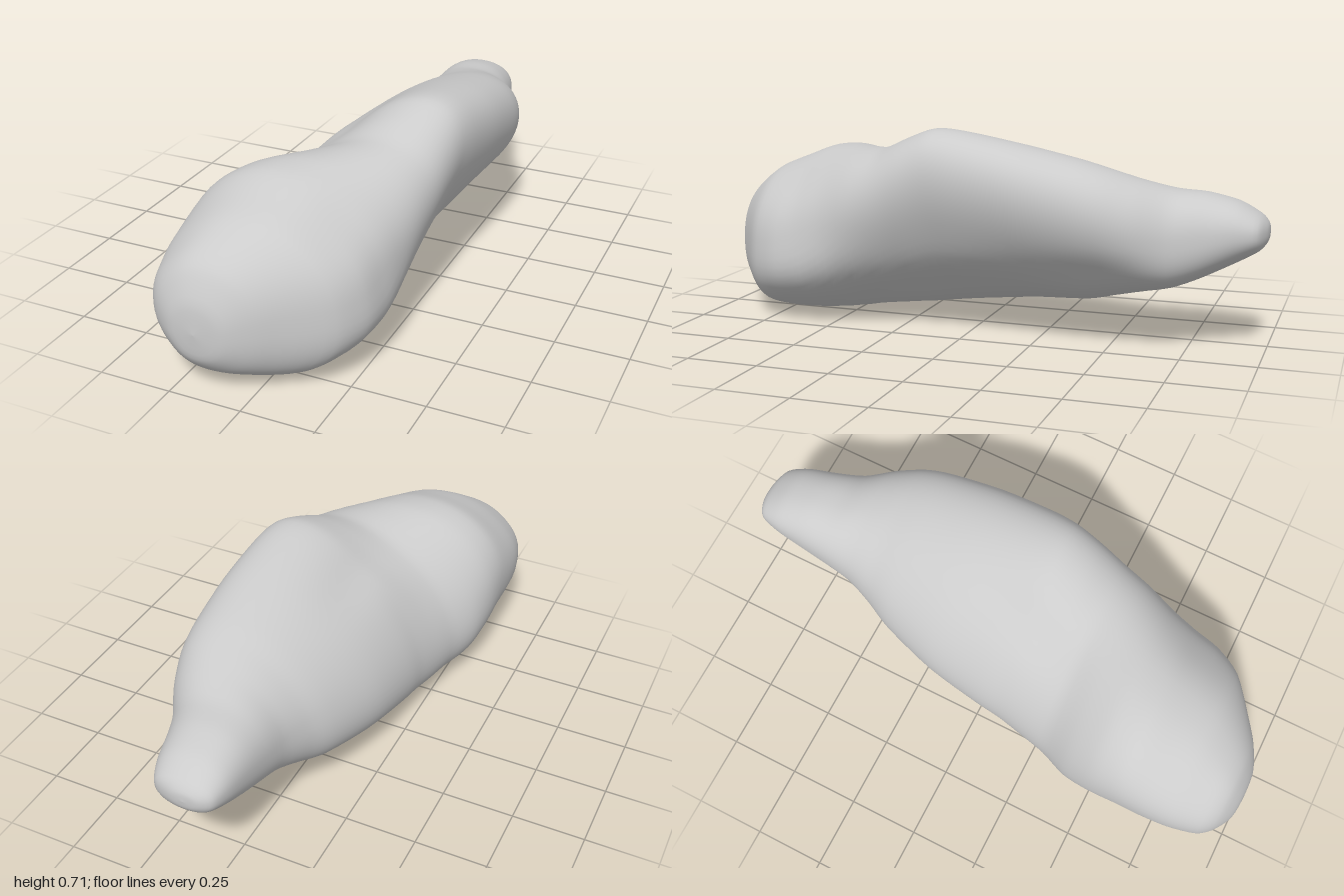
import * as THREE from 'three';

// Cross-sections from front to back: z, left x, right x, bottom y, top y, slant
const stations = [
  [1.0, -0.15, -0.15, 0.23, 0.23, 0],
  [0.99, -0.24, -0.06, 0.14, 0.33, 0],
  [0.95, -0.31, 0.02, 0.085, 0.42, 0],
  [0.9, -0.35, 0.09, 0.05, 0.47, 0],
  [0.8, -0.377, 0.22, 0.01, 0.535, -0.03],
  [0.7, -0.385, 0.275, 0.0, 0.575, -0.04],
  [0.6, -0.385, 0.29, 0.0, 0.612, -0.02],
  [0.5, -0.38, 0.305, 0.008, 0.625, 0.1],
  [0.4, -0.36, 0.325, 0.02, 0.628, 0.28],
  [0.3, -0.315, 0.338, 0.03, 0.638, 0.43],
  [0.2, -0.29, 0.35, 0.04, 0.68, 0.52],
  [0.1, -0.27, 0.36, 0.055, 0.716, 0.56],
  [0.0, -0.26, 0.37, 0.07, 0.712, 0.55],
  [-0.2, -0.23, 0.38, 0.1, 0.675, 0.5],
  [-0.4, -0.17, 0.375, 0.125, 0.63, 0.4],
  [-0.5, -0.125, 0.36, 0.155, 0.6, 0.32],
  [-0.6, -0.09, 0.325, 0.185, 0.565, 0.18],
  [-0.7, -0.078, 0.27, 0.21, 0.535, 0.03],
  [-0.8, -0.07, 0.23, 0.25, 0.525, 0],
  [-0.9, -0.06, 0.2, 0.3, 0.5, 0],
  [-0.97, -0.04, 0.165, 0.34, 0.46, 0],
  [-0.995, 0.0, 0.1, 0.37, 0.43, 0],
  [-1.0, 0.05, 0.05, 0.4, 0.4, 0],
];

// Hollows (or bulges, if negative): z, reach along z, angle, spread, depth
const dents = [
  [0.06, 0.2, 1.9, 0.45, 0.11],     // notch left of the ridge
  [0.66, 0.17, 0.85, 0.45, 0.07],   // valley on the head, upper right
  [0.55, 0.3, -1.1, 0.4, 0.05],     // under the head, right
  [0.6, 0.2, -0.35, 0.3, -0.06],    // right cheek
  [0.88, 0.13, -0.7, 0.5, -0.06],   // lower right of the nose
  [0.85, 0.22, -2.45, 0.45, 0.07],  // lower left chamfer of the head
  [0.85, 0.22, 2.3, 0.45, 0.06],    // upper left chamfer of the head
  [0.1, 0.28, -0.5, 0.4, -0.05],    // keel below the right flank
  [-0.45, 0.18, -0.6, 0.45, 0.06],  // hollow behind the keel
  [-0.74, 0.12, -0.7, 0.5, -0.07],  // underside of the tail
];

function dentFactor(angle, z) {
  let factor = 1;
  for (const [dz, reach, at, spread, depth] of dents) {
    const turn = Math.atan2(Math.sin(angle - at), Math.cos(angle - at));
    factor -= depth * Math.exp(-((turn / spread) ** 2) - ((z - dz) / reach) ** 2);
  }
  return factor;
}

// Slightly squared circle coordinate
const soft = (v, p) => Math.sign(v) * Math.pow(Math.abs(v), p);

function loftBody(sides, steps) {
  // Smooth the section centres and half sizes along the length
  const smooth = (points) => new THREE.CatmullRomCurve3(points, false, 'catmullrom', 0.4);
  const centres = smooth(stations.map(([z, l, r, b, t]) => new THREE.Vector3((l + r) / 2, (b + t) / 2, z)));
  const sizes = smooth(stations.map(([, l, r, b, t, s]) => new THREE.Vector3((r - l) / 2, (t - b) / 2, s)));
  const positions = [], index = [];
  const rings = (stations.length - 1) * steps;
  for (let i = 0; i <= rings; i++) {
    const c = centres.getPoint(i / rings), h = sizes.getPoint(i / rings);
    // The head is squarer than the slanted middle
    const power = 0.9 + 0.1 * Math.min(1, Math.abs(h.z) * 2);
    for (let j = 0; j < sides; j++) {
      const a = (j / sides) * Math.PI * 2;
      const u = soft(Math.cos(a), power), v = soft(Math.sin(a + h.z), power);
      const f = dentFactor(Math.atan2(v, u), c.z);
      positions.push(c.x + h.x * u * f, c.y + h.y * v * f, c.z);
      if (i < rings) {
        const k = (j + 1) % sides, p = i * sides, q = p + sides;
        if (i < rings - 1) index.push(p + j, q + j, q + k);
        else index.push(p + j, q + j, p + k);
        if (i > 0 && i < rings - 1) index.push(p + j, q + k, p + k);
      }
    }
  }
  const geometry = new THREE.BufferGeometry();
  geometry.setAttribute('position', new THREE.Float32BufferAttribute(positions, 3));
  geometry.setIndex(index);
  geometry.computeVertexNormals();
  return geometry;
}

export function createModel() {
  const group = new THREE.Group();
  group.name = 'organicForm';
  const body = new THREE.Mesh(
    loftBody(64, 4),
    new THREE.MeshStandardMaterial({ color: 0xcccccc, side: THREE.DoubleSide }));
  body.name = 'body';
  group.add(body);
  return group;
}
